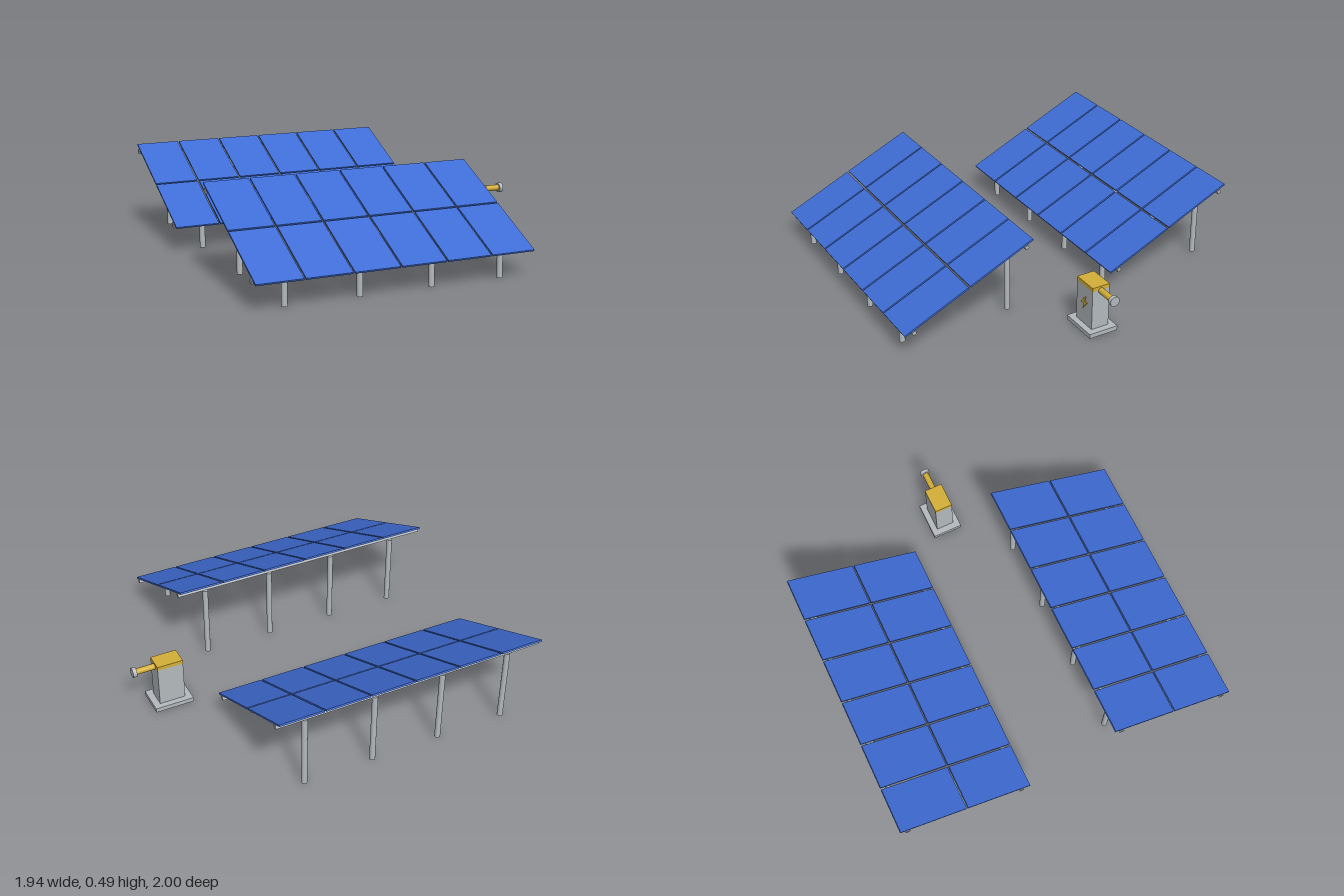
import * as THREE from 'three';

const mat = (name, color) => {
  const m = new THREE.MeshStandardMaterial({ color });
  m.name = name;
  return m;
};

export function createModel() {
  const blue = mat('panelBlue', 0x3f6dd6);
  const grey = mat('steelGrey', 0xb4babe);
  const gold = mat('gold', 0xd4af37);

  const model = new THREE.Group();
  model.name = 'solarStation';

  const add = (parent, name, geometry, material, x, y, z) => {
    const mesh = new THREE.Mesh(geometry, material);
    mesh.name = name;
    mesh.position.set(x, y, z);
    parent.add(mesh);
    return mesh;
  };
  const box = (parent, name, w, h, d, material, x, y, z) =>
    add(parent, name, new THREE.BoxGeometry(w, h, d), material, x, y, z);

  // One tilted table of 6 x 2 panels with rails and posts
  const panelArray = (name, z) => {
    const array = new THREE.Group();
    array.name = name;
    array.position.set(-0.2, 0, z);
    model.add(array);

    const table = new THREE.Group();
    table.name = 'tiltedTable';
    table.position.y = 0.315;
    table.rotation.x = THREE.MathUtils.degToRad(25);
    array.add(table);

    for (let col = 0; col < 6; col++) {
      for (const side of [-1, 1]) {
        box(table, 'panel', 0.248, 0.01, 0.409, blue, (col - 2.5) * 0.258, 0, side * 0.2097);
      }
    }
    for (const side of [-1, 1]) {
      box(table, 'rail', 1.55, 0.02, 0.022, grey, 0, -0.015, side * 0.364);
    }

    // Short posts in front, tall posts behind
    for (const [height, pz] of [[0.16, 0.314], [0.425, -0.314]]) {
      for (let i = 0; i < 4; i++) {
        const post = new THREE.CylinderGeometry(0.016, 0.016, height, 16);
        add(array, 'post', post, grey, -0.6 + i * 0.4, height / 2, pz);
      }
    }
  };
  panelArray('frontArray', 0.6225);
  panelArray('rearArray', -0.6225);

  // Power cabinet
  const cabinet = new THREE.Group();
  cabinet.name = 'cabinet';
  cabinet.position.x = 0.767;
  model.add(cabinet);
  box(cabinet, 'cabinetBase', 0.222, 0.025, 0.172, grey, 0, 0.0125, 0);
  box(cabinet, 'cabinetBody', 0.148, 0.229, 0.104, grey, 0, 0.1395, 0);
  box(cabinet, 'cabinetLid', 0.148, 0.022, 0.104, gold, 0, 0.265, 0);

  // Side connector: gold shaft with a grey end disc
  const rod = (name, r, x0, x1, material) => {
    const g = new THREE.CylinderGeometry(r, r, x1 - x0, 24).rotateZ(Math.PI / 2);
    add(cabinet, name, g, material, (x0 + x1) / 2, 0.249, 0);
  };
  rod('connectorShaft', 0.017, 0.06, 0.185, gold);
  rod('connectorDisc', 0.028, 0.181, 0.203, grey);

  // Lightning bolt plate on the cabinet front
  const bolt = new THREE.Shape([
    [0.008, 0.042], [-0.029, -0.006], [-0.004, -0.006],
    [-0.012, -0.042], [0.029, 0.011], [0.004, 0.011], [0.016, 0.042],
  ].map(([x, y]) => new THREE.Vector2(x, y)));
  add(cabinet, 'boltSign', new THREE.ExtrudeGeometry(bolt, { depth: 0.004, bevelEnabled: false }),
    gold, 0, 0.153, 0.0515);

  return model;
}
